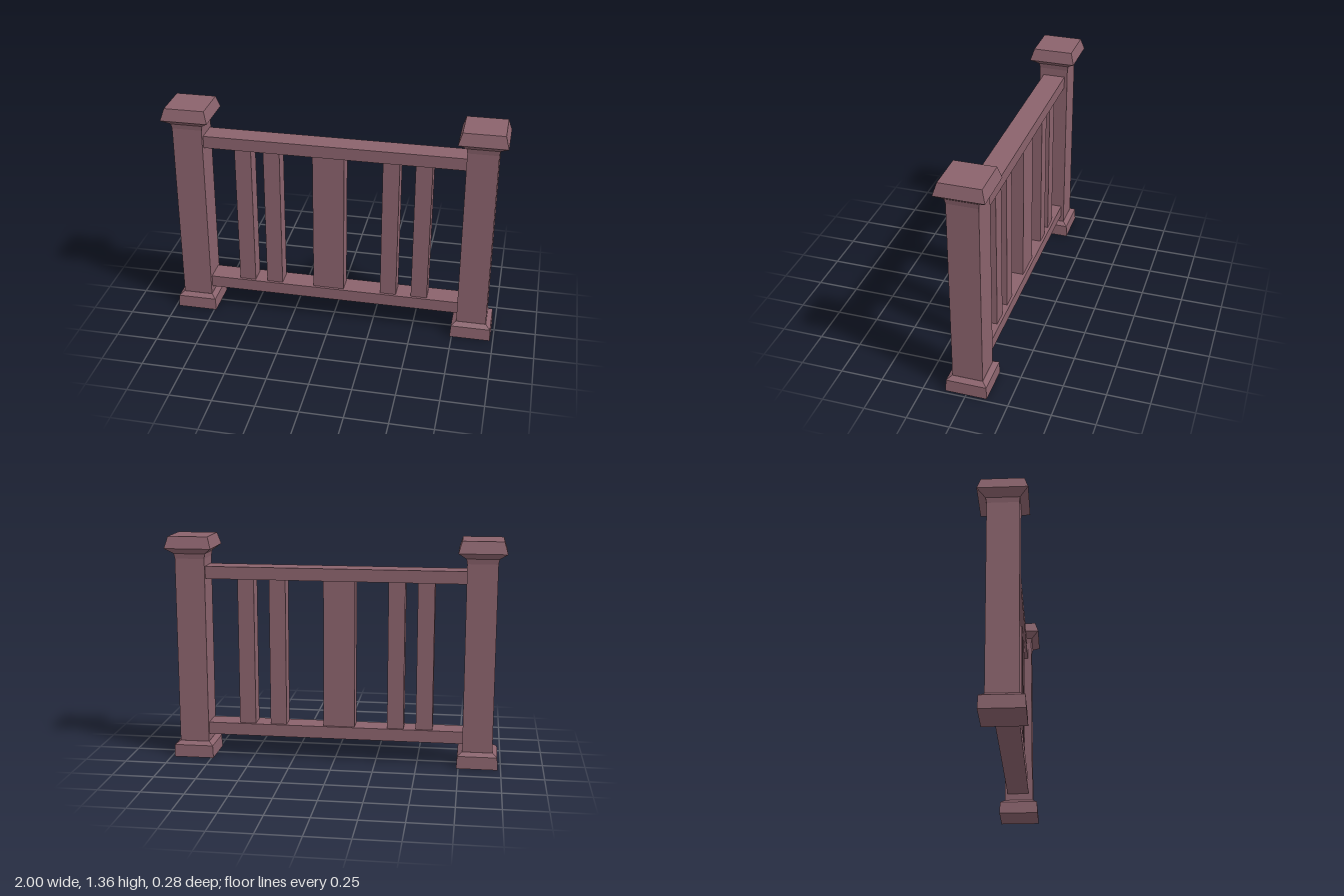
import * as THREE from 'three';

const wood = new THREE.MeshStandardMaterial({ color: 0x8a626c });
wood.name = 'mauve wood';

// Square tapered block with crisp faces; widths are half-sizes
function frustum(name, y0, half0, y1, half1, openEnded = false) {
  const g = new THREE.CylinderGeometry(half1 * Math.SQRT2, half0 * Math.SQRT2, y1 - y0, 4, 1, openEnded)
    .rotateY(Math.PI / 4)
    .translate(0, (y0 + y1) / 2, 0)
    .toNonIndexed();
  g.computeVertexNormals();
  const mesh = new THREE.Mesh(g, wood);
  mesh.name = name;
  return mesh;
}

function bar(name, x0, x1, y0, y1, z0, z1) {
  const mesh = new THREE.Mesh(new THREE.BoxGeometry(x1 - x0, y1 - y0, z1 - z0), wood);
  mesh.position.set((x0 + x1) / 2, (y0 + y1) / 2, (z0 + z1) / 2);
  mesh.name = name;
  return mesh;
}

export function createModel() {
  const model = new THREE.Group();
  model.name = 'railing';

  // End posts: foot, shaft and flared cap
  for (const side of [-1, 1]) {
    const post = new THREE.Group();
    post.name = side > 0 ? 'leftPost' : 'rightPost';
    post.position.x = side * 0.86;
    post.add(
      frustum('foot', 0, 0.122, 0.075, 0.118),
      frustum('footBevel', 0.075, 0.118, 0.095, 0.09),
      frustum('shaft', 0.095, 0.089, 1.22, 0.089, true),
      frustum('collar', 1.22, 0.089, 1.25, 0.094, true),
      frustum('capUnderside', 1.25, 0.094, 1.285, 0.14),
      frustum('cap', 1.285, 0.14, 1.355, 0.119),
    );
    model.add(post);
  }

  // Rails
  model.add(bar('bottomRail', -0.775, 0.775, 0.138, 0.212, -0.071, 0.065));
  model.add(bar('topRail', -0.775, 0.775, 1.1, 1.174, -0.071, 0.065));

  // Balusters, with the wide one in the middle
  const spans = [[-0.59, -0.491], [-0.417, -0.319], [-0.122, 0.066], [0.293, 0.391], [0.483, 0.581]];
  for (const [x0, x1] of spans) {
    model.add(bar('baluster', x0, x1, 0.212, 1.1, -0.055, 0.049));
  }
  return model;
}
